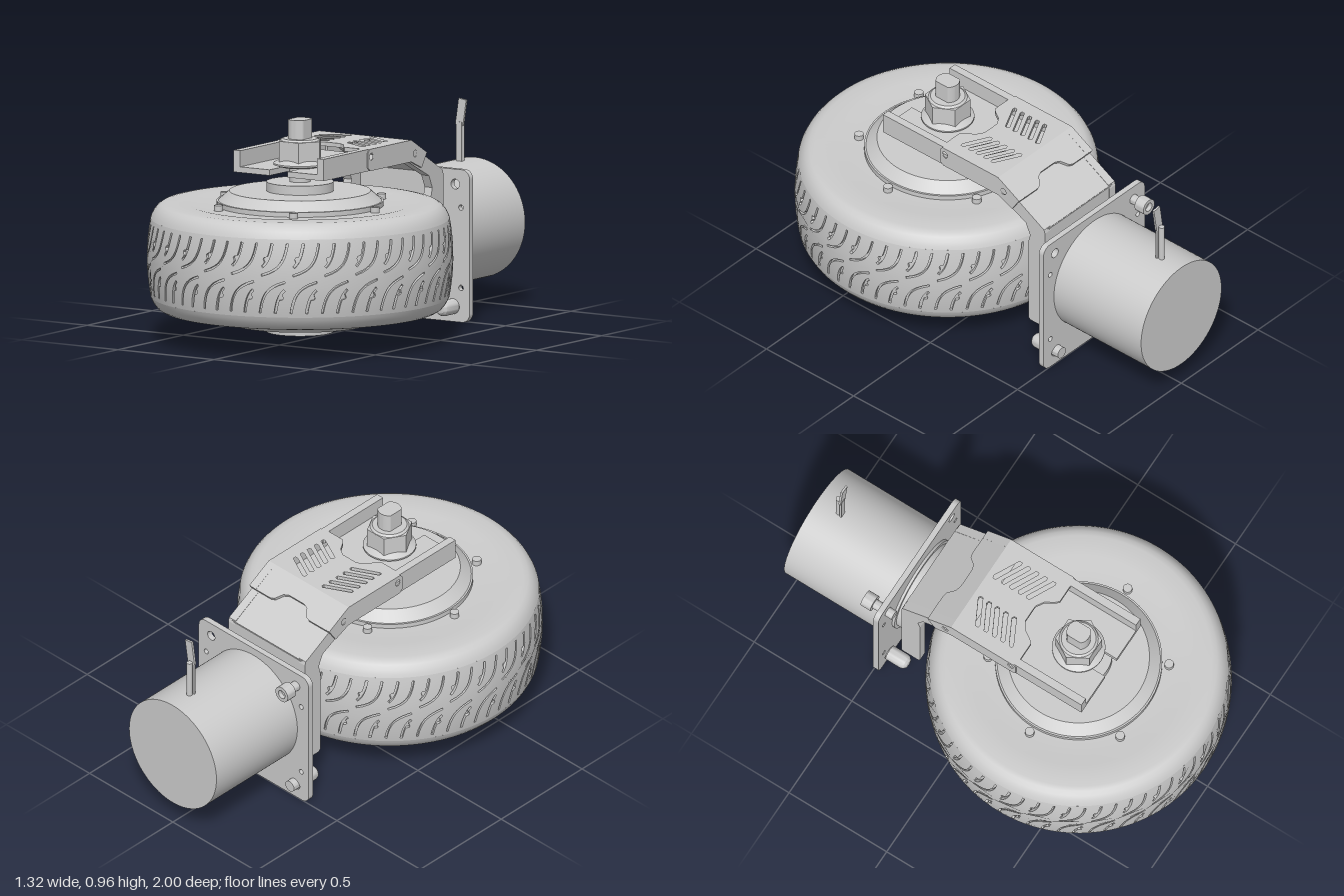
import * as THREE from 'three';
import { toCreasedNormals } from 'three/addons/utils/BufferGeometryUtils.js';

const material = new THREE.MeshStandardMaterial({ color: 0xcccccc });
const AXLE_Z = 0.34, MID_Y = 0.367;

function add(parent, name, geometry, x = 0, y = 0, z = 0) {
  const mesh = new THREE.Mesh(geometry, material);
  mesh.name = name;
  mesh.position.set(x, y, z);
  parent.add(mesh);
  return mesh;
}
const vecs = (pts) => pts.map(([x, y]) => new THREE.Vector2(x, y));
const lathe = (pts, segments = 96) => toCreasedNormals(new THREE.LatheGeometry(vecs(pts), segments), 0.5);
const extrude = (shape, depth) => new THREE.ExtrudeGeometry(shape, { depth, bevelEnabled: false, curveSegments: 10 });
const circleHole = (x, y, r) => new THREE.Path().absarc(x, y, r, 0, Math.PI * 2, true);

// Plate outlined by [z, y] points, extruded along x from x0
function plateX(pts, x0, thickness, holes = []) {
  const shape = new THREE.Shape(vecs(pts.map(([z, y]) => [-z, y])));
  holes.forEach(([z, y, r]) => shape.holes.push(circleHole(-z, y, r)));
  return extrude(shape, thickness).rotateY(Math.PI / 2).translate(x0, 0, 0);
}
// Plate outlined by [x, z] points, extruded upwards
function plateY(pts, thickness, holes = []) {
  const shape = new THREE.Shape(vecs(pts.map(([x, z]) => [x, -z])));
  holes.forEach((h) => shape.holes.push(new THREE.Path(vecs(h.map(([x, z]) => [x, -z])))));
  return extrude(shape, thickness).rotateX(-Math.PI / 2);
}
const mirrored = (half) => [...half, ...half.slice().reverse().map(([x, z]) => [-x, z])];
const rodZ = (r, length, sides = 32) => new THREE.CylinderGeometry(r, r, length, sides).rotateX(Math.PI / 2);

// Tread: one slanted tile with groove holes, wrapped round the tyre
const TILES = 30, BAND = 0.17, DEPTH = 0.014;
const tyreRadius = (v) => 0.66 - 0.55 * v * v;
const sweep = (v) => 0.12 * Math.atan(v / 0.03);

function groove(t, v0, v1, half, branch) {
  const left = [], right = [], n = 12;
  for (let i = 0; i <= n; i++) {
    const v = v0 + (v1 - v0) * i / n;
    const slope = 0.12 * 0.03 / (0.0009 + v * v), len = Math.hypot(slope, 1);
    const s = t + sweep(v), nx = half / len, ny = -half * slope / len;
    // short side branch that turns the stroke into a Y
    const k = branch && (i === 3 || i === 4) ? 3.2 : 1;
    left.push([s - nx * k, v - ny * k]);
    right.push([s + nx, v + ny]);
  }
  return [...right, ...left.reverse()];
}

function treadTile() {
  const half = Math.PI * 0.66 / TILES, outline = [], n = 28;
  for (let i = 0; i <= n; i++) {
    const v = -BAND + 2 * BAND * i / n;
    outline.push([sweep(v) + half, v]);
  }
  for (let i = 1; i < 4; i++) outline.push([sweep(BAND) + half - half * i / 2, BAND]);
  const other = outline.map(([s, v]) => [-s, -v]);
  const shape = new THREE.Shape(vecs([...outline, ...other]));
  const strokes = [groove(0.034, 0.014, 0.152, 0.0045, false), groove(-0.034, 0.05, 0.152, 0.0055, true)];
  for (const g of strokes) {
    shape.holes.push(new THREE.Path(vecs(g)));
    shape.holes.push(new THREE.Path(vecs(g.map(([s, v]) => [-s, -v]))));
  }
  const geometry = extrude(shape, DEPTH), p = geometry.attributes.position, nor = geometry.attributes.normal;
  const normal = new THREE.Vector3(), up = new THREE.Vector3(0, 1, 0);
  for (let i = 0; i < p.count; i++) {
    const a = p.getX(i) / 0.66, v = p.getY(i), r = tyreRadius(v) - DEPTH + p.getZ(i);
    normal.fromBufferAttribute(nor, i);
    if (normal.z > 0.5) normal.set(0, 1.1 * v, 1).normalize();
    normal.applyAxisAngle(up, a);
    nor.setXYZ(i, normal.x, normal.y, normal.z);
    p.setXYZ(i, r * Math.sin(a), v, r * Math.cos(a));
  }
  return geometry;
}

function buildWheel() {
  const wheel = new THREE.Group();
  wheel.name = 'wheel';
  wheel.position.set(0, MID_Y, AXLE_Z);
  const side = [[0.33, 0.224], [0.43, 0.224], [0.48, 0.232], [0.575, 0.233], [0.597, 0.229], [0.615, 0.218],
    [0.63, 0.2], [0.639, 0.183], [tyreRadius(BAND), BAND]];
  const floor = [];
  for (let i = 0; i <= 10; i++) {
    const v = -BAND + 2 * BAND * i / 10;
    floor.push([tyreRadius(v) - DEPTH + 0.001, v]);
  }
  add(wheel, 'tyreBody', lathe([...side.map(([r, y]) => [r, -y]), ...floor, ...side.slice().reverse()], 128));
  const tile = treadTile();
  for (let i = 0; i < TILES; i++) add(wheel, 'treadTile', tile).rotation.y = i * Math.PI * 2 / TILES;

  // Domed hub covers, bearing bosses and rim screws
  const hub = [[0, -0.327], [0.145, -0.327], [0.145, -0.287], [0.305, -0.287], [0.352, -0.245], [0.36, -0.245], [0.36, -0.2]];
  add(wheel, 'hub', lathe([...hub, ...hub.slice().reverse().map(([r, y]) => [r, -y])], 80));
  for (let i = 0; i < 6; i++) {
    const a = i * Math.PI / 3;
    add(wheel, 'rimScrew', new THREE.CylinderGeometry(0.02, 0.02, 0.496, 20), 0.39 * Math.cos(a), 0, 0.39 * Math.sin(a));
  }

  // Axle with flats, flanged nut
  add(wheel, 'axle', new THREE.CylinderGeometry(0.045, 0.045, 0.2, 32), 0, 0.41, 0);
  const end = new THREE.CylinderGeometry(0.052, 0.052, 0.1, 48), p = end.attributes.position;
  for (let i = 0; i < p.count; i++) p.setX(i, THREE.MathUtils.clamp(p.getX(i), -0.039, 0.039));
  add(wheel, 'axleEnd', toCreasedNormals(end, 0.4), 0, 0.548, 0);
  add(wheel, 'nutFlange', lathe([[0, 0.393], [0.09, 0.393], [0.115, 0.401], [0.115, 0.408], [0.085, 0.426], [0, 0.426]], 48));
  add(wheel, 'nut', toCreasedNormals(new THREE.CylinderGeometry(0.1, 0.1, 0.09, 6), 0.4), 0, 0.462, 0).rotation.y = Math.PI / 6;
  add(wheel, 'nutChamfer', new THREE.CylinderGeometry(0.075, 0.087, 0.01, 32), 0, 0.51, 0);
  return wheel;
}

function buildBracket() {
  const bracket = new THREE.Group();
  bracket.name = 'bracket';
  const wall = [[0.505, 0.735], [0.505, 0.83], [-0.16, 0.83], [-0.28, 0.762], [-0.24, 0.7], [-0.16, 0.735]];
  const skin = [[0.155, 0.735], [0.172, 0.75], [0.172, 0.815], [0.16, 0.83], ...wall.slice(2)];
  const arm = [[-0.15, 0.813], [-0.16, 0.813], [-0.415, 0.668], [-0.42, 0.65], [-0.42, 0.15], [-0.41, 0.14], [-0.335, 0.14],
    [-0.325, 0.15], [-0.325, 0.56], [-0.335, 0.6], [-0.31, 0.655], [-0.15, 0.735]];
  const pins = [[0.145, 0.797, 0.015], [-0.19, 0.768, 0.015]];
  for (const s of [1, -1]) {
    add(bracket, 'forkWall', plateX(wall, s > 0 ? 0.2 : -0.235, 0.035, pins));
    add(bracket, 'coverSkin', plateX(skin, s > 0 ? 0.235 : -0.24, 0.005, pins));
    add(bracket, 'armSide', plateX(arm, s > 0 ? 0.19 : -0.23, 0.04));
  }

  // Fork floor with an open slot for the axle
  const slot = [];
  for (let i = 0; i <= 8; i++) slot.push([0.047 * Math.cos(i * Math.PI / 8), AXLE_Z - 0.047 * Math.sin(i * Math.PI / 8)]);
  add(bracket, 'forkFloor', plateY([[0.2, -0.1], [0.2, 0.505], [0.047, 0.505], ...slot, [-0.047, 0.505], [-0.2, 0.505], [-0.2, -0.1]], 0.025), 0, 0.735, 0);

  // Vented cover with scalloped ends
  const vents = [];
  for (const s of [1, -1]) for (let i = 0; i < 5; i++) {
    const z = -0.07 + i * 0.043;
    vents.push([[0.05 * s, z - 0.06], [0.06 * s, z - 0.065], [0.175 * s, z - 0.005], [0.175 * s, z + 0.008], [0.165 * s, z + 0.01], [0.05 * s, z - 0.048]]);
  }
  const front = [[0.235, -0.16], [0.235, 0.17], [0.115, 0.17], [0.1, 0.155], [0.075, 0.115], [0.04, 0.093]];
  add(bracket, 'cover', plateY(mirrored(front), 0.018, vents), 0, 0.812, 0);
  const back = [[0.235, 0], [0.235, -0.139], [0.115, -0.139], [0.095, -0.132], [0.07, -0.097], [0.045, -0.087]];
  add(bracket, 'coverSlope', plateY(mirrored(back), 0.018).translate(0, -0.018, 0), 0, 0.83, -0.16).rotation.x = -Math.PI / 6;
  add(bracket, 'armSlope', new THREE.BoxGeometry(0.42, 0.016, 0.3).translate(0, -0.008, -0.15), 0, 0.814, -0.158).rotation.x = -Math.PI / 6;
  add(bracket, 'armBack', new THREE.BoxGeometry(0.4, 0.52, 0.016), 0, 0.4, -0.411);
  return bracket;
}

function buildMotor() {
  const motor = new THREE.Group();
  motor.name = 'motor';
  // Round spacer between arm and mounting plate
  add(motor, 'spacer', rodZ(0.205, 0.05, 64), 0, MID_Y, -0.442);
  add(motor, 'spacerRim', rodZ(0.22, 0.012, 64), 0, MID_Y, -0.468);

  // Mounting plate with rounded corners and holes
  const plate = new THREE.Shape(), c = 0.04, w = 0.33, b = 0, t = 0.665;
  plate.absarc(w - c, t - c, c, 0, Math.PI / 2).absarc(-w + c, t - c, c, Math.PI / 2, Math.PI);
  plate.absarc(-w + c, b + c, c, Math.PI, Math.PI * 1.5).absarc(w - c, b + c, c, Math.PI * 1.5, Math.PI * 2);
  for (const s of [1, -1]) {
    for (const y of [0.065, 0.6]) plate.holes.push(circleHole(s * 0.255, y, 0.022));
    for (const y of [0.15, 0.585]) plate.holes.push(circleHole(s * 0.285, y === 0.15 ? y : 0.5, 0.012));
  }
  plate.holes.push(circleHole(0, 0.05, 0.014));
  add(motor, 'mountingPlate', extrude(plate, 0.026), 0, 0, -0.5);
  add(motor, 'motorCan', rodZ(0.262, 0.5, 96), 0, MID_Y, -0.75);

  // Lower bolts with domed heads, and one upper rear bolt
  const bolt = lathe([[0, 0], [0.026, 0], [0.026, 0.06], [0.034, 0.06], [0.034, 0.135], [0.03, 0.147], [0.02, 0.156], [0, 0.16]], 28);
  bolt.rotateX(Math.PI / 2);
  for (const s of [1, -1]) add(motor, 'lowerBolt', bolt, s * 0.245, 0.067, -0.53);
  const upper = lathe([[0, 0], [0.022, 0], [0.022, 0.1], [0.037, 0.1], [0.037, 0.15], [0.02, 0.15], [0.02, 0.13], [0, 0.13]], 28);
  add(motor, 'upperBolt', upper.rotateX(-Math.PI / 2), -0.255, 0.6, -0.44);

  // Terminal: round pin and a slightly bent blade
  add(motor, 'terminalPin', new THREE.CylinderGeometry(0.013, 0.013, 0.2, 16), 0.005, 0.7, -0.892);
  add(motor, 'terminalStem', new THREE.BoxGeometry(0.03, 0.18, 0.01), 0.005, 0.71, -0.874);
  add(motor, 'terminalBlade', new THREE.BoxGeometry(0.04, 0.115, 0.01), 0.014, 0.843, -0.876).rotation.z = -0.15;
  return motor;
}

export function createModel() {
  const model = new THREE.Group();
  model.name = 'wheelAssembly';
  model.add(buildWheel(), buildBracket(), buildMotor());
  return model;
}
